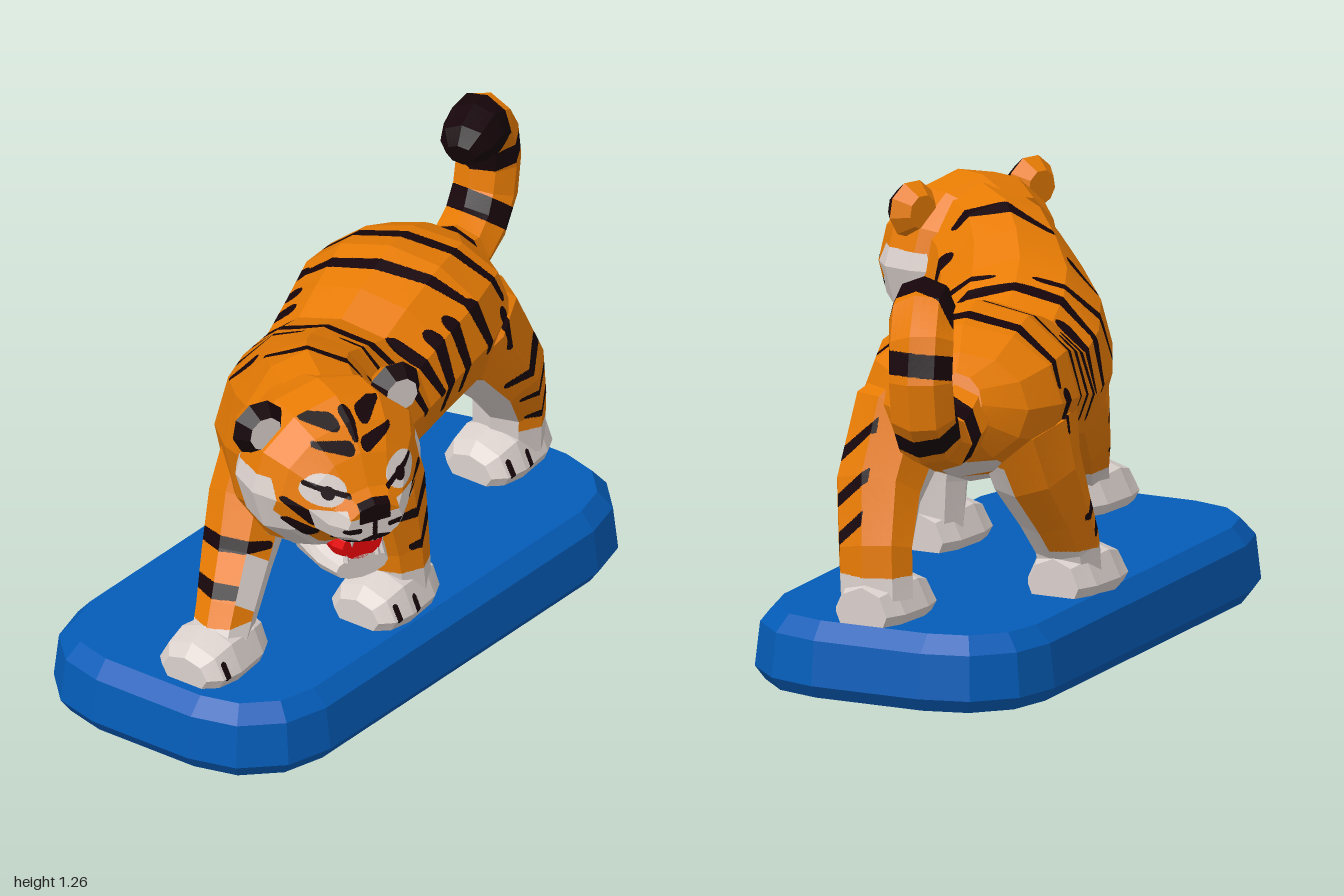
import * as THREE from 'three';

const COLORS = { orange: 0xe97c04, black: 0x16050a, white: 0xdad0cc, red: 0xf80808, blue: 0x045cb8, darkBlue: 0x04304e };
const KEYS = Object.keys(COLORS);
const V = (x, y, z) => new THREE.Vector3(x, y, z);

// Oval rings along a path; each section is [x, y, z, halfWidth, halfHeight]
function sweep(sections, ref, sides, fixedDir) {
  const c = sections.map(s => V(s[0], s[1], s[2]));
  return sections.map((s, i) => {
    const t = fixedDir || c[Math.min(i + 1, c.length - 1)].clone().sub(c[Math.max(i - 1, 0)]).normalize();
    const side = ref.clone().cross(t).normalize();
    const up = t.clone().cross(side);
    return Array.from({ length: sides }, (_, j) => {
      const a = j / sides * Math.PI * 2;
      return c[i].clone().addScaledVector(side, s[3] * Math.cos(a)).addScaledVector(up, s[4] * Math.sin(a));
    });
  });
}

// Faceted skin over rings, coloured by pick(point, normal); triangles on a colour border are split further
function loft(name, rings, mats, pick, res = 0.03) {
  const collapse = r => {
    const m = r.reduce((s, p) => s.add(p), V(0, 0, 0)).divideScalar(r.length);
    return r.map(() => m);
  };
  const all = [collapse(rings[0]), ...rings, collapse(rings[rings.length - 1])];
  const n = rings[0].length;
  const edge = Math.max(...rings.flatMap(r => r.map((p, j) => p.distanceTo(r[(j + 1) % n]))));
  const m = Math.ceil(edge / res);
  const fine = r => r.flatMap((p, j) =>
    Array.from({ length: m }, (_, k) => p.clone().lerp(r[(j + 1) % n], k / m)));
  const rows = [];
  all.forEach((r, i) => {
    if (i === 0) return rows.push(fine(r));
    const a = fine(all[i - 1]), b = fine(r);
    const steps = Math.ceil(Math.max(...a.map((p, j) => p.distanceTo(b[j]))) / res);
    for (let k = 1; k <= steps; k++) rows.push(a.map((p, j) => p.clone().lerp(b[j], k / steps)));
  });
  const buckets = KEYS.map(() => []);
  const half = (a, b) => a.clone().lerp(b, 0.5);
  const split = (a, b, c, nor, depth) => {
    const mid = a.clone().add(b).add(c).divideScalar(3);
    const key = pick(mid, nor);
    const ab = half(a, b), bc = half(b, c), ca = half(c, a);
    if (depth === 0 || [a, b, c, ab, bc, ca].every(p => pick(p, nor) === key)) {
      buckets[KEYS.indexOf(key)].push(a.x, a.y, a.z, b.x, b.y, b.z, c.x, c.y, c.z);
    } else {
      for (const t of [[a, ab, ca], [ab, b, bc], [ca, bc, c], [ab, bc, ca]]) split(...t, nor, depth - 1);
    }
  };
  const add = (a, b, c) => {
    const nor = b.clone().sub(a).cross(c.clone().sub(a));
    if (nor.length() > 1e-9) split(a, b, c, nor.normalize(), 3);
  };
  for (let i = 0; i + 1 < rows.length; i++) {
    const p = rows[i], q = rows[i + 1];
    for (let j = 0; j < p.length; j++) {
      const k = (j + 1) % p.length;
      add(p[j], p[k], q[k]);
      add(p[j], q[k], q[j]);
    }
  }
  const geo = new THREE.BufferGeometry();
  geo.setAttribute('position', new THREE.Float32BufferAttribute(buckets.flat(), 3));
  let start = 0;
  buckets.forEach((b, i) => {
    if (b.length) geo.addGroup(start, b.length / 3, i);
    start += b.length / 3;
  });
  geo.computeVertexNormals();
  const mesh = new THREE.Mesh(geo, mats);
  mesh.name = name;
  return mesh;
}

// True inside one of the tapering strokes [x1, y1, x2, y2]
function onStroke(list, x, y, r, taper = 0.5) {
  return list.some(([x1, y1, x2, y2]) => {
    const dx = x2 - x1, dy = y2 - y1;
    const t = Math.min(1, Math.max(0, ((x - x1) * dx + (y - y1) * dy) / (dx * dx + dy * dy)));
    return Math.hypot(x - x1 - dx * t, y - y1 - dy * t) < r * (1 - taper * t);
  });
}

const BODY_STRIPES = [
  [-0.45, 1.16, -0.43, 1.09], [-0.35, 1.01, -0.34, 0.94], [-0.22, 0.86, -0.15, 1.01], [-0.22, 0.86, -0.25, 0.73],
  [-0.08, 1, -0.05, 0.86], [-0.05, 0.86, 0, 0.74], [0.03, 0.92, 0.09, 0.76], [0.13, 0.91, 0.13, 0.69],
  [0.21, 0.92, 0.22, 0.71], [0.25, 1.06, 0.31, 0.93], [0.31, 0.93, 0.34, 0.78], [0.44, 1.06, 0.5, 0.87],
  [0.47, 0.83, 0.47, 0.73]];
const LEG_STRIPES = [
  [-0.12, 0.74, -0.33, 0.62], [-0.1, 0.58, -0.25, 0.52], [-0.08, 0.48, -0.2, 0.42],
  [0.62, 0.7, 0.48, 0.62], [0.72, 0.58, 0.56, 0.53], [0.75, 0.46, 0.62, 0.41],
  [-0.71, 0.56, -0.57, 0.53], [-0.79, 0.45, -0.64, 0.43], [0.05, 0.49, 0.2, 0.46], [0.06, 0.42, 0.15, 0.4]];
const onBodyStripe = p => onStroke(BODY_STRIPES, p.x - 0.3 * (p.z - 0.12), p.y, 0.024);

function makeBody(mats) {
  const rings = sweep([
    [0.62, 0.86, -0.29, 0.08, 0.09], [0.55, 0.83, -0.27, 0.2, 0.16], [0.43, 0.82, -0.22, 0.29, 0.22],
    [0.28, 0.81, -0.18, 0.31, 0.26], [0.12, 0.78, -0.15, 0.29, 0.245], [-0.02, 0.745, -0.13, 0.275, 0.23],
    [-0.18, 0.755, -0.09, 0.275, 0.26], [-0.33, 0.785, -0.02, 0.27, 0.285], [-0.46, 0.835, 0.08, 0.24, 0.3],
    [-0.56, 0.9, 0.18, 0.22, 0.285], [-0.64, 0.95, 0.29, 0.2, 0.24]], V(0, 1, 0), 12);
  return loft('body', rings, mats, (p, n) => {
    const neck = n.z > -0.1 ? Math.max(0, -0.25 - p.x) * 1.6 : 0;
    const flank = n.x < 0.2 ? Math.max(0, p.x - 0.2) * 0.25 : 0;
    if (p.y < 0.6 + neck + flank) return 'white';
    if (n.x > 0.3 && p.y < 0.68 && p.z > -0.38 && p.z < -0.18) return 'white';
    return onBodyStripe(p) ? 'black' : 'orange';
  });
}

function makeLegs(mats) {
  const group = new THREE.Group();
  group.name = 'legs';
  // path, direction of the pale inner face, paw position, stripe slant, claw marks
  const legs = [
    ['frontLeftLeg', [[-0.27, 0.91, 0.05, 0.09, 0.05], [-0.24, 0.77, 0.1, 0.16, 0.135], [-0.2, 0.6, 0.15, 0.13, 0.115],
      [-0.17, 0.42, 0.165, 0.1, 0.1], [-0.16, 0.28, 0.17, 0.09, 0.1]], V(0, 0, -1.1), -0.21, 0.17, 0.9, 2],
    ['frontRightLeg', [[-0.42, 0.72, -0.1, 0.16, 0.12], [-0.5, 0.6, -0.1, 0.14, 0.115], [-0.6, 0.47, -0.07, 0.11, 0.105],
      [-0.7, 0.36, -0.03, 0.095, 0.09], [-0.76, 0.28, -0.01, 0.085, 0.085]], V(0.6, 0, 0.5), -0.765, -0.02, 0, 1],
    ['hindLeftLeg', [[0.36, 0.9, -0.13, 0.13, 0.07], [0.45, 0.75, -0.04, 0.18, 0.14], [0.58, 0.57, -0.03, 0.13, 0.13],
      [0.66, 0.42, -0.06, 0.095, 0.115], [0.67, 0.28, -0.07, 0.09, 0.115]], V(-0.75, -0.25, -0.5), 0.63, -0.07, 0.9, 2],
    ['hindRightLeg', [[0.3, 0.75, -0.36, 0.2, 0.13], [0.27, 0.6, -0.38, 0.15, 0.125], [0.2, 0.47, -0.4, 0.11, 0.11],
      [0.14, 0.36, -0.41, 0.09, 0.1], [0.12, 0.28, -0.41, 0.085, 0.1]], V(0.5, 0, 0.5), 0.09, -0.41, 0, 0]];
  for (const [name, path, inner, px, pz, slant, clawCount] of legs) {
    group.add(loft(name, sweep(path, V(0, 0, 1), 8), mats, (p, n) => {
      if (p.y < 0.355 || (p.y < 0.64 && n.dot(inner) > 0.35)) return 'white';
      const y = p.y + slant * (p.z - pz - 0.1);
      const outer = slant === 0 || p.z > pz + 0.02;
      return (outer && onStroke(LEG_STRIPES, p.x, y, 0.024)) || onBodyStripe(p) ? 'black' : 'orange';
    }));
    // Paw with claw marks
    const paw = [[0.14, 0.08, 0.08], [0.08, 0.11, 0.1], [-0.04, 0.125, 0.11],
      [-0.11, 0.115, 0.085], [-0.145, 0.08, 0.05]].map(([x, w, h]) => [px + x, 0.25, pz, w, h]);
    const claws = [-0.09, -0.01].slice(0, clawCount).map(x => [px + x, 0.285, px + x, 0.25]);
    group.add(loft(name + 'Paw', sweep(paw, V(0, 1, 0), 8), mats,
      (p, n) => n.z > 0.2 && onStroke(claws, p.x, p.y, 0.01, 0) ? 'black' : 'white'));
  }
  return group;
}

function makeTail(mats) {
  const rings = sweep([
    [0.54, 0.83, -0.28, 0.1, 0.1], [0.64, 0.79, -0.29, 0.095, 0.1], [0.74, 0.78, -0.3, 0.088, 0.1],
    [0.84, 0.82, -0.32, 0.088, 0.1], [0.9, 0.9, -0.33, 0.088, 0.1], [0.915, 1, -0.33, 0.085, 0.1],
    [0.89, 1.1, -0.32, 0.085, 0.1], [0.83, 1.165, -0.29, 0.085, 0.095], [0.76, 1.18, -0.265, 0.085, 0.09],
    [0.7, 1.165, -0.245, 0.075, 0.08], [0.66, 1.15, -0.235, 0.04, 0.045]], V(0, 0, 1), 8);
  const bands = [[0.67, 0.92, 0.7, 0.66], [0.77, 0.93, 0.98, 0.76], [0.8, 1.02, 1.02, 1.07]];
  return loft('tail', rings, mats, p =>
    (p.x < 0.85 && p.y > 1.06) || onStroke(bands, p.x, p.y, 0.034, 0) ? 'black' : 'orange');
}

function makeHead(mats, m) {
  const head = new THREE.Group();
  head.name = 'head';
  const along = rows => sweep(rows.map(([z, y, w, h]) => [0, y, z, w, h]), V(0, 1, 0), 12, V(0, 0, 1));
  const marks = [
    [0.15, 0.89, 0.22, 0.95], [0.15, 0.84, 0.21, 0.88],
    [0, 1.15, 0, 1.1], [0.03, 1.08, 0.12, 1.1], [0.05, 1.14, 0.12, 1.155]];
  const thin = [[0.065, 0.965, 0.17, 1.005], [0, 0.88, 0, 0.83], [0, 0.835, 0.09, 0.82], [0.05, 0.865, 0.09, 0.87]];
  head.add(loft('skull', along([
    [-0.16, 0.95, 0.2, 0.2], [-0.05, 0.95, 0.27, 0.24], [0.055, 0.945, 0.275, 0.24], [0.135, 0.94, 0.23, 0.2],
    [0.195, 0.93, 0.17, 0.135], [0.24, 0.89, 0.13, 0.088], [0.28, 0.88, 0.088, 0.058]]), mats, (p, n) => {
    const x = Math.abs(p.x), front = n.z > 0.05;
    if (p.z > 0.262 && p.y > 0.885 && x < 0.05) return 'black';
    if (front && Math.hypot(x - 0.118, p.y - 0.978) < 0.019) return 'black';
    if (front && onStroke(thin, x, p.y, 0.008, 0)) return 'black';
    if (front && Math.hypot((x - 0.125) / 0.06, (p.y - 0.985) / 0.045) < 1) return 'white';
    if (p.z > 0.195 && (p.y < 0.905 || (x > 0.08 && p.y < 0.93))) return 'white';
    if (front && onStroke(marks, x, p.y, 0.019)) return 'black';
    // Pale ruff round the cheeks and throat
    const ruff = 0.235 - Math.max(0, 0.9 - p.y) * 1.1;
    if (p.z > -0.1 && p.y < 1 && x > ruff) return 'white';
    return p.y < 0.79 ? 'white' : 'orange';
  }));
  head.add(loft('lowerJaw', along([[0.03, 0.745, 0.13, 0.08], [0.14, 0.71, 0.11, 0.052], [0.205, 0.7, 0.085, 0.037]]),
    mats, () => 'white', 0.5));
  head.add(loft('mouth', along([[0.06, 0.77, 0.08, 0.06], [0.17, 0.77, 0.08, 0.055], [0.205, 0.77, 0.065, 0.045]]),
    mats, () => 'red', 0.5));
  const part = (name, geo, mat, x, y, z, turn) => {
    const flat = geo.toNonIndexed();
    flat.computeVertexNormals();
    const mesh = new THREE.Mesh(flat, mat);
    mesh.name = name;
    mesh.position.set(x, y, z);
    mesh.rotation.x = turn;
    head.add(mesh);
  };
  for (const s of [-1, 1]) {
    part('upperFang', new THREE.ConeGeometry(0.013, 0.045, 5), m.white, s * 0.05, 0.81, 0.235, Math.PI);
    part('lowerFang', new THREE.ConeGeometry(0.012, 0.04, 5), m.white, s * 0.05, 0.745, 0.2, 0);
    // Ear: dark rim, pale hollow, orange back
    part('earRim', new THREE.CylinderGeometry(0.052, 0.085, 0.045, 9), [m.black, m.white, m.orange],
      s * 0.222, 1.115, 0.02, Math.PI / 2);
    part('earBack', new THREE.CylinderGeometry(0.085, 0.05, 0.05, 9), m.orange, s * 0.222, 1.115, -0.0275, Math.PI / 2);
  }
  head.position.set(-0.65, 0, 0.29);
  head.rotation.y = -0.4;
  return head;
}

function makeBase(mats) {
  const rings = [[0, 0.03], [0.04, 0], [0.17, 0.015], [0.22, 0.06]].map(([y, inset]) => {
    const ring = [];
    for (let q = 0; q < 4; q++) for (let k = 0; k < 4; k++) {
      const a = (q + k / 3) * Math.PI / 2, r = 0.29 - inset;
      const sx = q < 2 ? 1 : -1, sz = q === 0 || q === 3 ? 1 : -1;
      ring.push(V(-0.085 + sx * 0.625 + r * Math.sin(a), y, -0.11 + sz * 0.17 + r * Math.cos(a)));
    }
    return ring;
  });
  return loft('base', rings, mats, (p, n) => n.y < -0.9 ? 'darkBlue' : 'blue', 5);
}

export function createModel() {
  const m = {};
  for (const k of KEYS) {
    m[k] = new THREE.MeshStandardMaterial({ color: COLORS[k] });
    m[k].name = k;
  }
  const mats = KEYS.map(k => m[k]);
  const model = new THREE.Group();
  model.name = 'tigerFigure';
  model.add(makeBase(mats), makeBody(mats), makeLegs(mats), makeTail(mats), makeHead(mats, m));
  return model;
}
